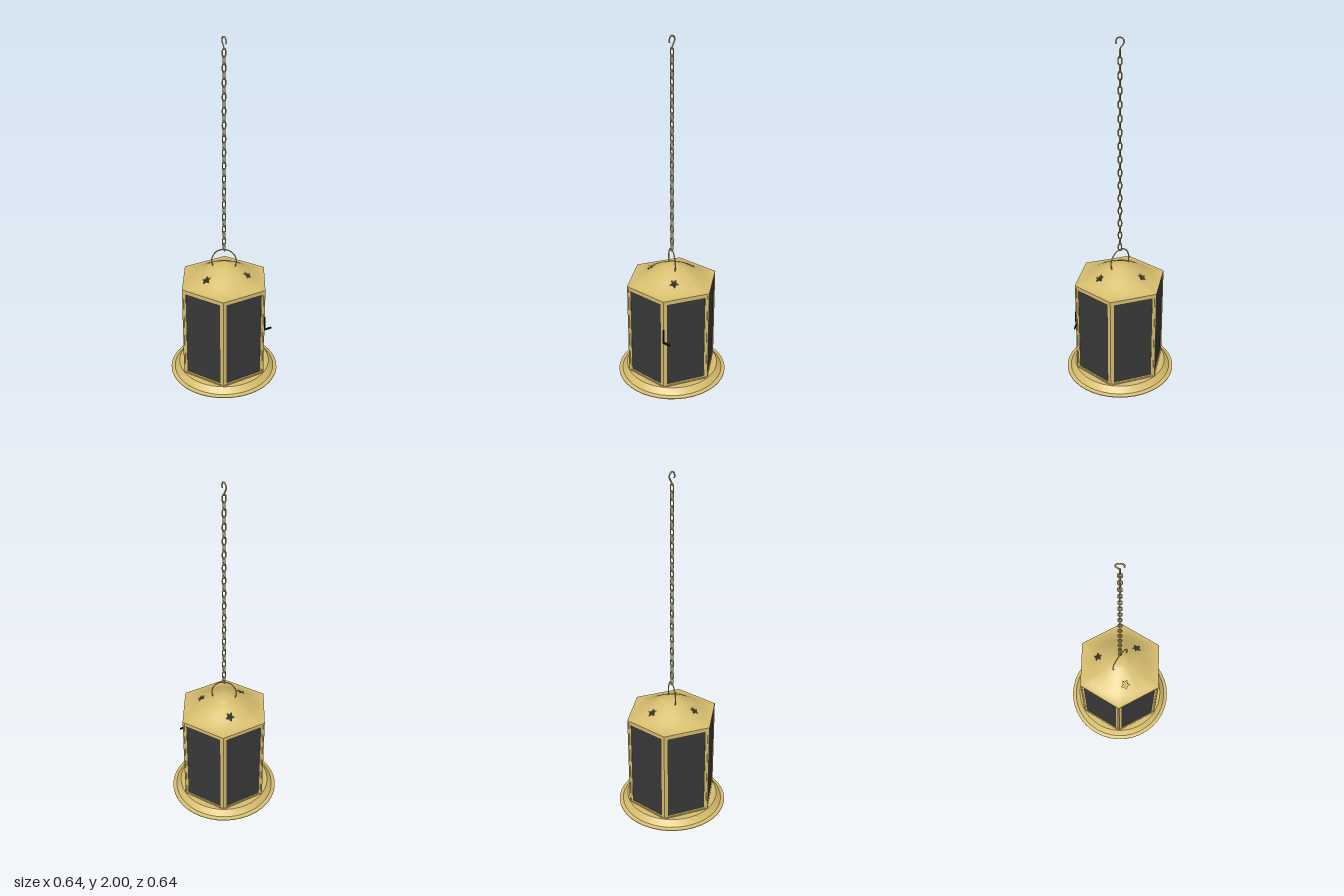
import * as THREE from 'three';
import { mergeVertices, toCreasedNormals } from 'three/addons/utils/BufferGeometryUtils.js';

const R = 0.272, APOTHEM = R * Math.cos(Math.PI / 6);
const BOTTOM = 0.04, TOP = 0.61;
const STEP = Math.PI / 36, RINGS = 20;

const brass = new THREE.MeshStandardMaterial({ color: 0xd6bd6e, side: THREE.DoubleSide });
brass.name = 'brass';
const glass = new THREE.MeshStandardMaterial({ color: 0x383838 });
glass.name = 'smoked glass';
const iron = new THREE.MeshStandardMaterial({ color: 0x121212 });
iron.name = 'black iron';

function add(parent, name, geometry, material, x = 0, y = 0, z = 0) {
  const mesh = new THREE.Mesh(geometry, material);
  mesh.name = name;
  mesh.position.set(x, y, z);
  parent.add(mesh);
  return mesh;
}

function tube(points, radius, segments, closed = false) {
  const curve = new THREE.CatmullRomCurve3(points.map(p => new THREE.Vector3(...p)), closed);
  return new THREE.TubeGeometry(curve, segments, radius, 6, closed);
}

// Dome surface: round near the crown, hexagonal at the eaves (s runs 0 to 1)
function roofPoint(angle, s) {
  const sector = Math.PI / 3;
  const a = ((angle % sector) + sector) % sector - sector / 2;
  const r = s * THREE.MathUtils.lerp(0.255, APOTHEM / Math.cos(a), s ** 3);
  const y = TOP + 0.0455 * (1 + Math.cos(Math.PI * s ** 1.1))
    + 0.004 * (1 - THREE.MathUtils.smoothstep(s, 0.18, 0.26));
  return [r * Math.cos(angle), y, r * Math.sin(angle)];
}

// Five-pointed star in (angle, s) coordinates
function starOutline(centre) {
  return Array.from({ length: 10 }, (_, i) => {
    const r = i % 2 ? 0.0125 : 0.027, a = Math.PI / 2 + i * Math.PI / 5;
    return new THREE.Vector2(centre + r * Math.cos(a) / 0.14, 0.55 + r * Math.sin(a) / 0.255);
  });
}

function buildRoof(group) {
  const dome = [], rims = [];
  const centres = [9, 33, 57];                       // grid columns of the star cut-outs
  const tri = (list, ...pts) => pts.forEach(p => list.push(...roofPoint(...p)));
  for (let i = 0; i < 72; i++) {
    for (let j = 0; j < RINGS; j++) {
      if (j >= 8 && j < 14 && centres.some(c => i >= c - 3 && i < c + 3)) continue;
      const a0 = i * STEP, a1 = ((i + 1) % 72) * STEP, s0 = j / RINGS, s1 = (j + 1) / RINGS;
      if (j > 0) tri(dome, [a0, s0], [a1, s0], [a1, s1]);
      tri(dome, [a0, s0], [a1, s1], [a0, s1]);
    }
  }
  for (const c of centres) {
    // Patch around each star, with its outline on the grid
    const contour = [];
    const put = (i, j) => contour.push(new THREE.Vector2(i * STEP, j / RINGS));
    for (let k = 0; k < 6; k++) put(c - 3 + k, 8);
    for (let k = 0; k < 6; k++) put(c + 3, 8 + k);
    for (let k = 0; k < 6; k++) put(c + 3 - k, 14);
    for (let k = 0; k < 6; k++) put(c - 3, 14 - k);
    const star = starOutline(c * STEP).reverse();
    const all = [...contour, ...star];
    for (const face of THREE.ShapeUtils.triangulateShape(contour, [star])) {
      const p = face.map(n => all[n]);
      if (THREE.ShapeUtils.area(p) < 0) p.reverse();
      tri(dome, ...p.map(v => [v.x, v.y]));
    }
    // Thin cut edge of the star
    star.forEach((v, k) => {
      const w = star[(k + 1) % star.length];
      const a = roofPoint(v.x, v.y), b = roofPoint(w.x, w.y);
      const low = p => [p[0], p[1] - 0.008, p[2]];
      rims.push(...a, ...b, ...low(b), ...a, ...low(b), ...low(a));
    });
  }
  const toGeometry = list => new THREE.BufferGeometry()
    .setAttribute('position', new THREE.Float32BufferAttribute(list, 3));
  const domeGeometry = mergeVertices(toGeometry(dome), 1e-5);
  domeGeometry.computeVertexNormals();
  add(group, 'roof', domeGeometry, brass);
  const rimGeometry = toGeometry(rims);
  rimGeometry.computeVertexNormals();
  add(group, 'starCutEdges', rimGeometry, brass);
}

// Rectangular frame with an opening, front face at z = 0
function frameGeometry(w, y0, y1, holeW, h0, h1, depth) {
  const rect = (Type, a, b, c) => new Type([[-a, b], [a, b], [a, c], [-a, c]].map(p => new THREE.Vector2(...p)));
  const shape = rect(THREE.Shape, w / 2, y0, y1);
  shape.holes.push(rect(THREE.Path, holeW / 2, h0, h1));
  return new THREE.ExtrudeGeometry(shape, { depth, bevelEnabled: false }).translate(0, 0, -depth);
}

export function createModel() {
  const model = new THREE.Group();
  model.name = 'hangingLantern';

  // Dished base plate with a small boss beneath
  const profile = [[0.322, 0], [0.322, 0.004], [0.3, 0.009], [0.272, 0.042], [0, 0.042]]
    .map(p => new THREE.Vector2(...p));
  add(model, 'basePlate', toCreasedNormals(new THREE.LatheGeometry(profile, 40), 0.5), brass);
  add(model, 'baseBoss', new THREE.CylinderGeometry(0.014, 0.014, 0.01, 6), brass, 0, 0.037, 0);

  // Six glazed sides
  const outer = frameGeometry(R, BOTTOM, TOP, 0.254, 0.048, 0.601, 0.01);
  const inner = frameGeometry(0.256, 0.046, 0.603, 0.228, 0.058, 0.586, 0.006);
  const pane = new THREE.BoxGeometry(0.232, 0.532, 0.003);
  for (let i = 0; i < 6; i++) {
    const side = new THREE.Group();
    side.name = 'sidePanel';
    add(side, 'outerFrame', outer, brass, 0, 0, APOTHEM);
    add(side, 'innerFrame', inner, brass, 0, 0, APOTHEM - 0.003);
    add(side, 'pane', pane, glass, 0, 0.322, APOTHEM - 0.0065);
    side.rotation.y = i * Math.PI / 3;
    model.add(side);
  }

  buildRoof(model);

  // Door latch on the front left corner
  const latch = new THREE.Group();
  latch.name = 'doorLatch';
  add(latch, 'latchBar', new THREE.BoxGeometry(0.007, 0.09, 0.007), iron, 0.136, 0.388, 0.235);
  add(latch, 'latchLever', new THREE.BoxGeometry(0.046, 0.009, 0.007), iron, 0.16, 0.346, 0.233);
  model.add(latch);

  // Wire bail over the crown
  const bail = add(model, 'bail', tube([
    [-0.066, 0.693, 0], [-0.071, 0.73, 0], [-0.055, 0.77, 0], [-0.028, 0.792, 0], [0, 0.797, 0],
    [0.028, 0.792, 0], [0.055, 0.77, 0], [0.071, 0.73, 0], [0.066, 0.693, 0]], 0.0035, 40), brass);
  bail.rotation.y = -0.6;

  // Chain of alternating links
  const link = tube([
    [0.009, -0.013, 0], [0.009, 0.013, 0], [0.0063, 0.02, 0], [0, 0.0225, 0], [-0.0063, 0.02, 0],
    [-0.009, 0.013, 0], [-0.009, -0.013, 0], [-0.0063, -0.02, 0], [0, -0.0225, 0], [0.0063, -0.02, 0]],
  0.0035, 28, true);
  const chain = new THREE.Group();
  chain.name = 'chain';
  for (let i = 0; i < 30; i++) {
    const mesh = add(chain, 'chainLink', link, brass, 0, 0.8125 + i * 0.038, 0);
    mesh.rotation.y = i % 2 ? 0 : Math.PI / 2;
  }
  model.add(chain);

  // Ceiling hook
  add(model, 'hook', tube([
    [0, 1.962, 0.019], [0, 1.975, 0.021], [0, 1.99, 0.015], [0, 1.996, 0], [0, 1.99, -0.015],
    [0, 1.975, -0.021], [0, 1.958, -0.014], [0, 1.945, -0.004], [0, 1.93, 0]], 0.004, 36), brass);

  return model;
}
